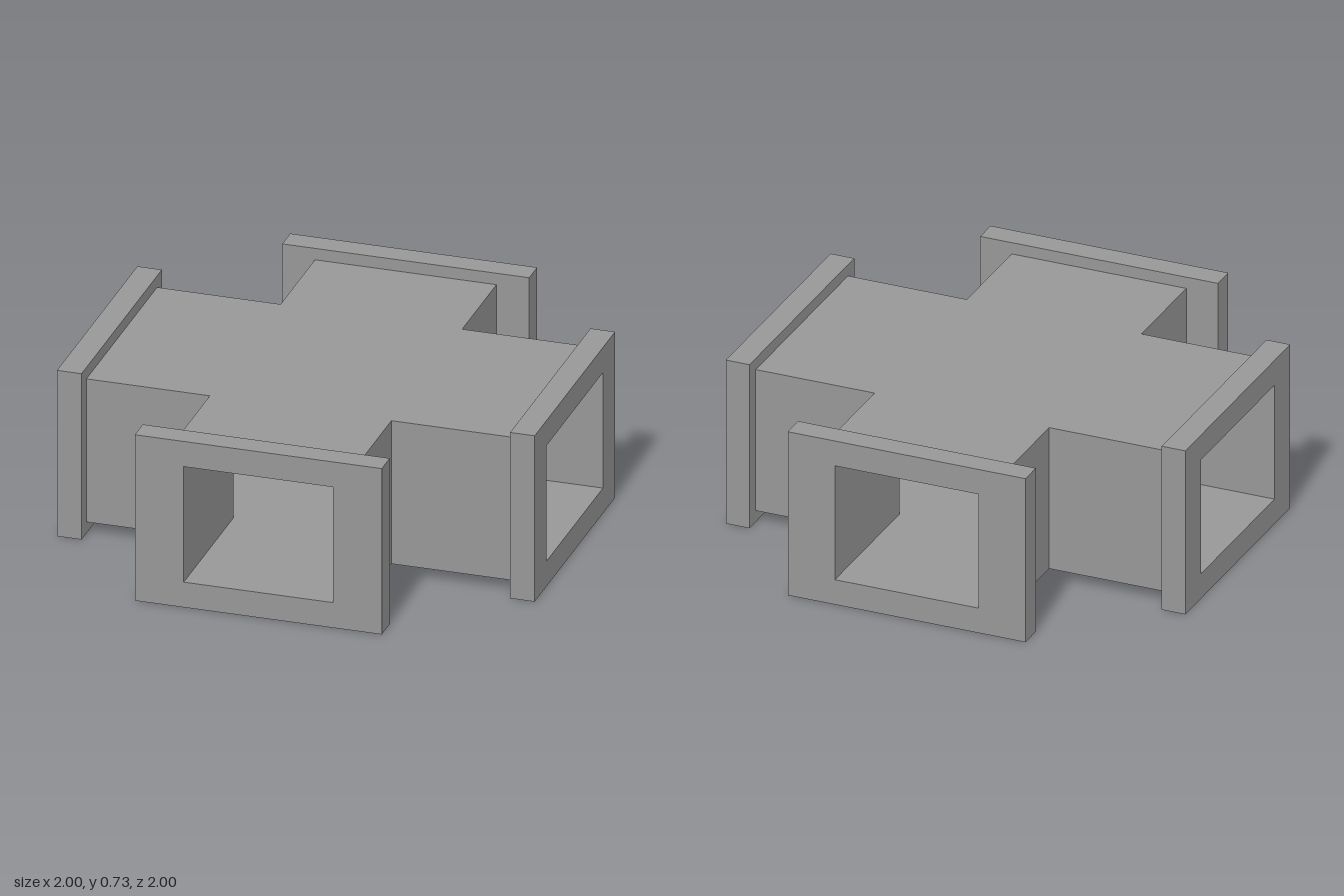
import * as THREE from 'three';
import { mergeGeometries } from 'three/addons/utils/BufferGeometryUtils.js';

const REACH = 0.897; // where the ducts meet the flanges
const MID_Y = 0.364;
const OUTER = { x: 0.38, z: 0.455, h: 0.628 };
const INNER = { x: 0.312, z: 0.362, h: 0.507 };

// Cross-shaped duct skin, open at the four arm ends; facing 1 = outward, -1 = inward
function crossSkin({ x: a, z: b, h }, facing) {
  const L = REACH;
  const cross = new THREE.Shape([
    [a, -L], [a, -b], [L, -b], [L, b], [a, b], [a, L],
    [-a, L], [-a, b], [-L, b], [-L, -b], [-a, -b], [-a, -L],
  ].map(([x, y]) => new THREE.Vector2(x, y)));
  const parts = [];

  // Roof and floor
  for (const s of [1, -1]) {
    parts.push(new THREE.ShapeGeometry(cross)
      .rotateX(-s * facing * Math.PI / 2)
      .translate(0, s * h / 2, 0));
  }

  // Two walls in each of the four corners
  for (const sx of [1, -1]) for (const sz of [1, -1]) {
    parts.push(new THREE.PlaneGeometry(L - b, h)
      .rotateY(sx * facing * Math.PI / 2)
      .translate(sx * a, 0, sz * (L + b) / 2));
    parts.push(new THREE.PlaneGeometry(L - a, h)
      .rotateY(sz * facing > 0 ? 0 : Math.PI)
      .translate(sx * (L + a) / 2, 0, sz * b));
  }
  return mergeGeometries(parts).translate(0, MID_Y, 0);
}

function rectangle(Type, halfW, halfH) {
  return new Type([[-halfW, -halfH], [halfW, -halfH], [halfW, halfH], [-halfW, halfH]]
    .map(([x, y]) => new THREE.Vector2(x, y)));
}

// Rectangular frame with an opening that matches the duct
function flangeGeometry(openingHalfWidth) {
  const frame = rectangle(THREE.Shape, 0.517, MID_Y);
  frame.holes.push(rectangle(THREE.Path, openingHalfWidth, INNER.h / 2));
  return new THREE.ExtrudeGeometry(frame, { depth: 1 - REACH, bevelEnabled: false })
    .translate(0, MID_Y, REACH);
}

export function createModel() {
  const group = new THREE.Group();
  group.name = 'ductCrossing';
  const darkGrey = new THREE.MeshStandardMaterial({ color: 0x979797 });
  const add = (name, geometry) => {
    const mesh = new THREE.Mesh(geometry, darkGrey);
    mesh.name = name;
    group.add(mesh);
    return mesh;
  };

  add('ductOuter', crossSkin(OUTER, 1));
  add('ductInner', crossSkin(INNER, -1));

  // One flange per arm
  ['frontFlange', 'leftFlange', 'backFlange', 'rightFlange'].forEach((name, i) => {
    const flange = add(name, flangeGeometry(i % 2 ? INNER.z : INNER.x));
    flange.rotation.y = i * Math.PI / 2;
  });

  return group;
}
